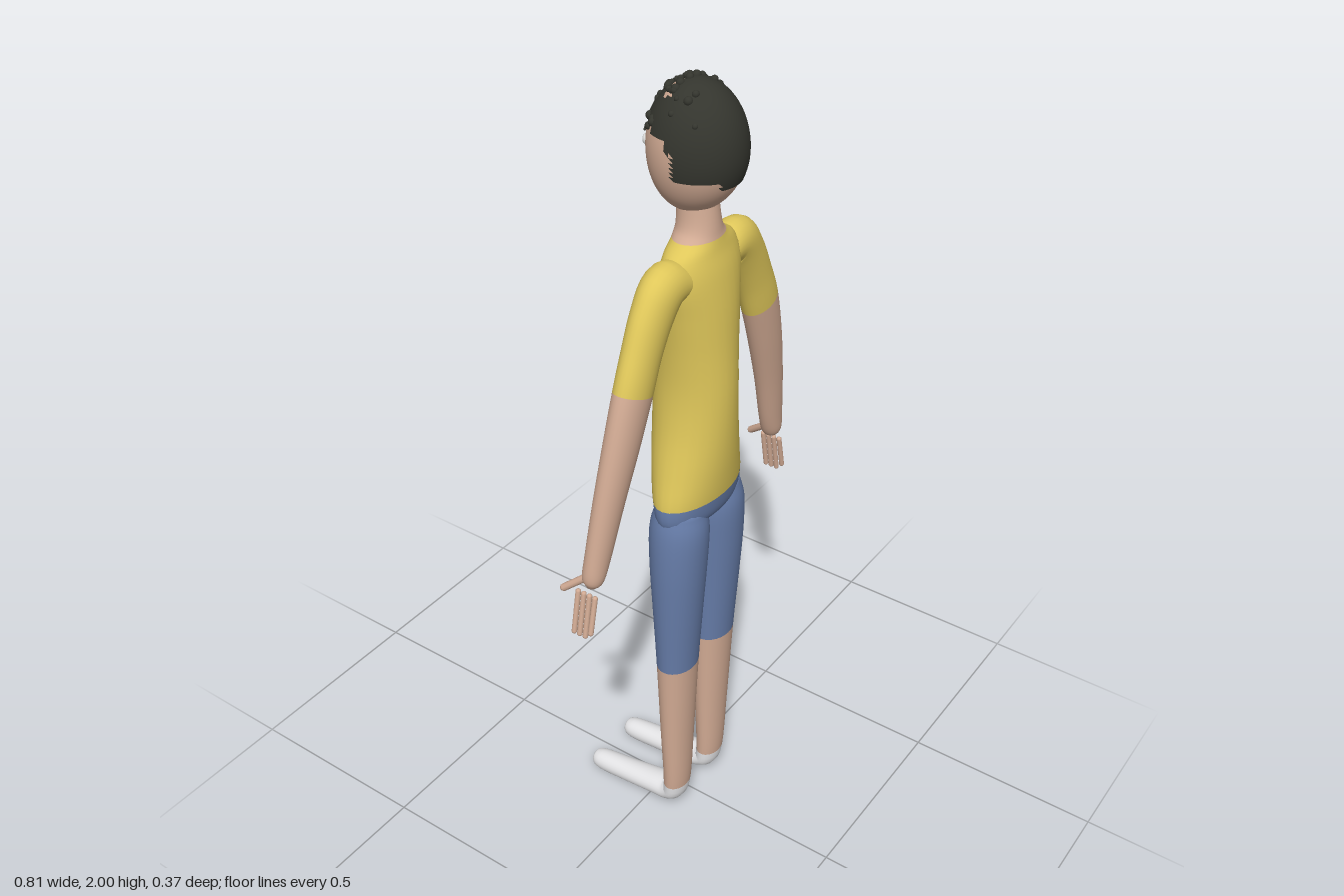
import * as THREE from 'three';

const mat = (name, color) => {
  const m = new THREE.MeshStandardMaterial({ color });
  m.name = name;
  return m;
};
const V = (x, y, z) => new THREE.Vector3(x, y, z);

// Smooth loft through rings [x, y, z, halfAlongAxis, halfAcross]; materials change at the ring numbers in cuts
function loft(rings, axis, mats, cuts = [], steps = 5, sides = 28) {
  const path = new THREE.CatmullRomCurve3(rings.map(r => V(r[0], r[1], r[2])), false, 'catmullrom');
  const size = new THREE.CatmullRomCurve3(rings.map(r => V(r[3], r[4], 0)), false, 'catmullrom');
  const rows = (rings.length - 1) * steps, pos = [], idx = [];
  for (let i = 0; i <= rows; i++) {
    const c = path.getPoint(i / rows), s = size.getPoint(i / rows);
    const across = path.getTangent(i / rows).cross(axis).normalize();
    const along = axis.clone().addScaledVector(path.getTangent(i / rows), -axis.dot(path.getTangent(i / rows))).normalize();
    for (let j = 0; j < sides; j++) {
      const a = j / sides * Math.PI * 2;
      const p = c.clone().addScaledVector(along, Math.cos(a) * Math.max(s.x, 0.001))
        .addScaledVector(across, Math.sin(a) * Math.max(s.y, 0.001));
      pos.push(p.x, p.y, p.z);
    }
  }
  const first = rings[0], last = rings[rings.length - 1];
  const c0 = pos.length / 3;
  pos.push(first[0], first[1], first[2], last[0], last[1], last[2]);
  const g = new THREE.BufferGeometry();
  const ends = [...cuts.map(k => k * steps), rows];
  let start = 0, group = 0;
  for (let j = 0; j < sides; j++) idx.push(c0, (j + 1) % sides, j);
  for (let i = 0; i < rows; i++) {
    for (let j = 0; j < sides; j++) {
      const a = i * sides + j, b = i * sides + (j + 1) % sides;
      idx.push(a, b, a + sides, b, b + sides, a + sides);
    }
    if (i + 1 === ends[group] && i + 1 < rows) {
      g.addGroup(start, idx.length - start, group++);
      start = idx.length;
    }
  }
  for (let j = 0; j < sides; j++) idx.push(c0 + 1, rows * sides + j, rows * sides + (j + 1) % sides);
  g.addGroup(start, idx.length - start, group);
  g.setAttribute('position', new THREE.Float32BufferAttribute(pos, 3));
  g.setIndex(idx);
  g.computeVertexNormals();
  return new THREE.Mesh(g, mats);
}

// Egg-shaped head surface, narrowing and moving forward at the chin
function headGeometry(grow) {
  const g = new THREE.SphereGeometry(1, 56, 44), p = g.attributes.position;
  for (let i = 0; i < p.count; i++) {
    const x = p.getX(i), y = p.getY(i), z = p.getZ(i), low = Math.max(0, -y);
    p.setXYZ(i, x * (0.097 + grow), 1.85 + y * (0.14 + grow), 0.073 + z * (0.107 + grow) - 0.012 * low * low);
  }
  g.computeVertexNormals();
  return g;
}

export function createModel() {
  const model = new THREE.Group();
  const skin = mat('skin', 0xd2ab94), shirt = mat('shirtYellow', 0xdfc75a), denim = mat('shortsBlue', 0x667ca8);
  const shoe = mat('shoeWhite', 0xe6e6e8), hair = mat('hairBlack', 0x34352e), white = mat('eyeWhite', 0xf0f0ee);
  const iris = mat('irisBlue', 0x5f7f95), lip = mat('lipBrown', 0x6e4a3e);
  hair.side = THREE.DoubleSide;
  const X = V(1, 0, 0), Z = V(0, 0, 1);
  const add = (name, mesh) => { mesh.name = name; model.add(mesh); return mesh; };
  const blob = (name, m, r, x, y, z, sx = 1, sy = 1, sz = 1) => {
    const b = add(name, new THREE.Mesh(new THREE.SphereGeometry(r, 16, 12), m));
    b.position.set(x, y, z);
    b.scale.set(sx, sy, sz);
    return b;
  };
  const rod = (name, from, to, r) => {
    const d = to.clone().sub(from);
    const b = add(name, new THREE.Mesh(new THREE.CapsuleGeometry(r, d.length() - 2 * r, 4, 10), skin));
    b.position.copy(from).add(to).multiplyScalar(0.5);
    b.quaternion.setFromUnitVectors(V(0, 1, 0), d.normalize());
  };

  // Hips, shirt and neck in one smooth column
  add('torso', loft([
    [0, 0.95, 0.087, 0.10, 0.035], [0, 0.97, 0.087, 0.135, 0.062], [0, 1.02, 0.085, 0.14, 0.076],
    [0, 1.1, 0.08, 0.122, 0.089], [0, 1.2, 0.078, 0.1, 0.096], [0, 1.3, 0.078, 0.09, 0.097],
    [0, 1.4, 0.08, 0.094, 0.09], [0, 1.5, 0.082, 0.107, 0.081], [0, 1.58, 0.083, 0.122, 0.068],
    [0, 1.63, 0.082, 0.108, 0.056], [0, 1.66, 0.081, 0.068, 0.051], [0, 1.69, 0.08, 0.048, 0.048],
    [0, 1.76, 0.075, 0.04, 0.045],
  ], X, [denim, shirt, skin], [2, 10]));

  for (const s of [1, -1]) {
    const side = s > 0 ? 'left' : 'right';
    // Arm: sleeve, then bare forearm and palm
    add(side + 'Arm', loft([
      [0.07, 1.585, 0.083, 0.045, 0.035], [0.13, 1.588, 0.083, 0.045, 0.056], [0.172, 1.54, 0.083, 0.041, 0.058],
      [0.21, 1.47, 0.084, 0.038, 0.055], [0.243, 1.392, 0.085, 0.037, 0.055], [0.28, 1.28, 0.081, 0.035, 0.05],
      [0.318, 1.15, 0.073, 0.031, 0.042], [0.35, 1.02, 0.064, 0.027, 0.034], [0.365, 0.965, 0.06, 0.024, 0.026],
      [0.371, 0.945, 0.058, 0.01, 0.01],
    ].map(r => [r[0] * s, ...r.slice(1)]), Z, [shirt, skin], [4]));
    // Fingers and thumb
    for (let k = 0; k < 4; k++) {
      const z = 0.029 + k * 0.0155, drop = k === 3 ? 0.015 : 0;
      rod(side + 'Finger', V(0.378 * s, 0.932, z), V(0.4 * s, 0.818 + drop, z), 0.0065);
    }
    rod(side + 'Thumb', V(0.365 * s, 0.965, 0.045), V(0.384 * s, 0.915, -0.016), 0.009);
    // Leg: shorts, shin and shoe
    add(side + 'Leg', loft([
      [0.07, 1.0, 0.087, 0.06, 0.056], [0.073, 0.94, 0.087, 0.072, 0.069], [0.077, 0.84, 0.088, 0.073, 0.066],
      [0.078, 0.7, 0.088, 0.068, 0.057], [0.077, 0.53, 0.087, 0.061, 0.047], [0.076, 0.3, 0.087, 0.053, 0.037],
      [0.075, 0.11, 0.086, 0.044, 0.03], [0.074, 0.07, 0.069, 0.041, 0.03], [0.072, 0.058, 0.02, 0.038, 0.03],
      [0.072, 0.044, -0.07, 0.033, 0.029], [0.072, 0.034, -0.15, 0.029, 0.028], [0.072, 0.034, -0.178, 0.022, 0.021],
      [0.072, 0.034, -0.188, 0.006, 0.006],
    ].map(r => [r[0] * s, ...r.slice(1)]), X, [denim, skin, shoe], [4, 6]));
    // Eye and brow
    blob(side + 'Eye', white, 0.015, 0.033 * s, 1.853, -0.02);
    blob(side + 'Iris', iris, 0.008, 0.033 * s, 1.852, -0.0295, 1, 1, 0.8);
    blob(side + 'Pupil', hair, 0.004, 0.033 * s, 1.852, -0.0335);
    const brow = blob(side + 'Brow', hair, 0.018, 0.034 * s, 1.879, -0.026, 1, 0.2, 0.25);
    brow.rotation.set(0, -0.35 * s, -0.1 * s);
  }

  // Head and face
  add('head', new THREE.Mesh(headGeometry(0), skin));
  blob('noseBridge', skin, 0.01, 0, 1.838, -0.031, 0.8, 2.2, 0.8);
  blob('noseTip', skin, 0.012, 0, 1.82, -0.035, 1.1, 0.9, 0.8);
  blob('upperLip', lip, 0.02, 0, 1.776, -0.019, 1.1, 0.25, 0.3);
  blob('lowerLip', lip, 0.02, 0, 1.766, -0.014, 0.9, 0.3, 0.3);

  // Hair shell: keep only the faces above a stepped hairline, with a thin patch on the crown
  const cap = headGeometry(0.004), p = cap.attributes.position, kept = [];
  const isHair = (x, y, z) => {
    if (y > 1.93 && Math.abs(x) < 0.055 && z > 0.028 && z < 0.05) return false;
    if (z > 0.08) return y > (Math.abs(x) < 0.045 ? 1.79 : 1.81);
    return y > (z > 0.06 ? 1.865 : z > 0.02 ? 1.89 : 1.915);
  };
  for (let i = 0; i < cap.index.count; i += 3) {
    const t = [0, 1, 2].map(k => cap.index.getX(i + k));
    const mid = f => t.reduce((sum, v) => sum + p[f](v), 0) / 3;
    if (isHair(mid('getX'), mid('getY'), mid('getZ'))) kept.push(...t);
  }
  cap.setIndex(kept);
  add('hair', new THREE.Mesh(cap, hair));

  // Loose curls over the crown and forehead
  let seed = 7;
  const rand = () => (seed = (seed * 16807) % 2147483647) / 2147483647;
  for (let i = 0; i < 48; i++) {
    const x = (rand() * 2 - 1) * 0.075, z = i < 34 ? -0.01 + rand() * 0.08 : rand() * 0.13;
    const h = 1 - (x / 0.097) ** 2 - ((z - 0.073) / 0.107) ** 2;
    if (h < 0.1) continue;
    blob('curl', hair, 0.006 + rand() * 0.004, x, 1.85 + 0.144 * Math.sqrt(h), z);
  }
  return model;
}
